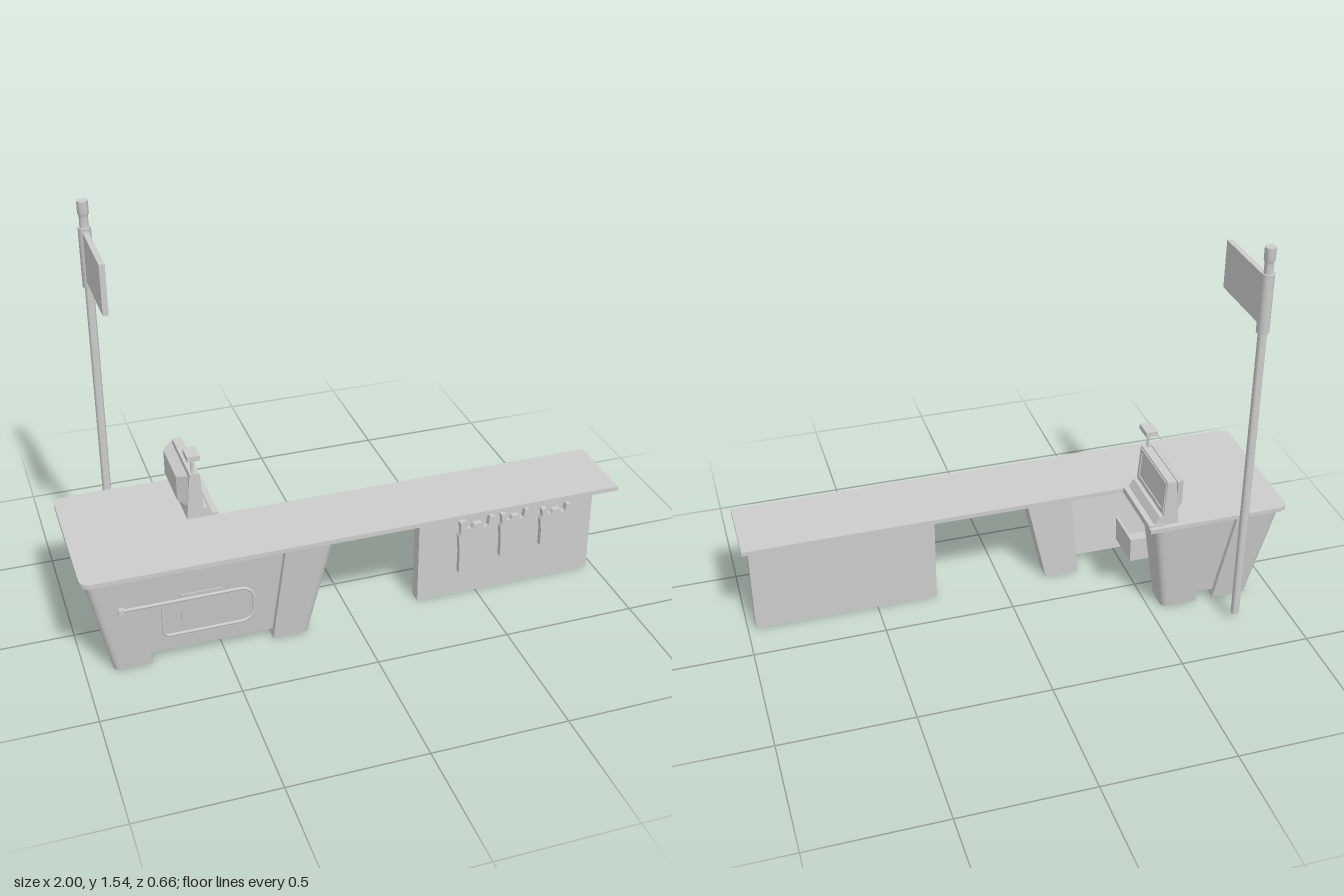
import * as THREE from 'three';
import { toCreasedNormals } from 'three/addons/utils/BufferGeometryUtils.js';

export function createModel() {
  const root = new THREE.Group();
  const grey = new THREE.MeshStandardMaterial({ color: 0xcccccc });

  const add = (name, geo, x = 0, y = 0, z = 0) => {
    const m = new THREE.Mesh(geo, grey);
    m.name = name;
    m.position.set(x, y, z);
    root.add(m);
    return m;
  };
  // box from its minimum and maximum corners
  const box = (name, x0, x1, y0, y1, z0, z1) =>
    add(name, new THREE.BoxGeometry(x1 - x0, y1 - y0, z1 - z0), (x0 + x1) / 2, (y0 + y1) / 2, (z0 + z1) / 2);

  // tapered column: rectangles are [xInner, xOuter, zInner, zOuter]; the outer corner is rounded by r
  const column = (name, b, t, y0, y1, r = 0) => {
    const [xi, xo, zi, zo] = b;
    const sx = Math.sign(xo - xi) * r, sz = Math.sign(zo - zi) * r;
    const s = new THREE.Shape();
    s.moveTo(xi, -zi);
    s.lineTo(xo, -zi);
    if (r) {
      s.lineTo(xo, -(zo - sz));
      s.quadraticCurveTo(xo, -zo, xo - sx, -zo);
    } else s.lineTo(xo, -zo);
    s.lineTo(xi, -zo);
    s.closePath();
    const g = new THREE.ExtrudeGeometry(s, { depth: y1 - y0, bevelEnabled: false, curveSegments: 5 });
    g.rotateX(-Math.PI / 2);
    const p = g.attributes.position;
    for (let i = 0; i < p.count; i++) {
      if (p.getY(i) < (y1 - y0) / 2) continue;
      p.setX(i, t[0] + (p.getX(i) - xi) / (xo - xi) * (t[1] - t[0]));
      p.setZ(i, t[2] + (p.getZ(i) - zi) / (zo - zi) * (t[3] - t[2]));
    }
    return add(name, toCreasedNormals(g, 0.6), 0, y0, 0);
  };

  // L-shaped counter top with rounded end corners
  const top = new THREE.Shape();
  const r = 0.04;
  top.moveTo(1, -0.33);
  top.lineTo(1, -0.04);
  top.lineTo(-0.45, -0.04);
  top.lineTo(-0.45, 0.25);
  top.lineTo(-1 + r, 0.25);
  top.quadraticCurveTo(-1, 0.25, -1, 0.25 - r);
  top.lineTo(-1, -0.33 + r);
  top.quadraticCurveTo(-1, -0.33, -1 + r, -0.33);
  top.closePath();
  const topGeo = new THREE.ExtrudeGeometry(top, { depth: 0.017, bevelEnabled: false, curveSegments: 6 });
  topGeo.rotateX(-Math.PI / 2);
  add('counterTop', topGeo, 0, 0.42, 0);

  // tapered corner legs
  column('frontRightLeg', [-0.76, -0.9, 0.15, 0.25], [-0.81, -0.985, 0.155, 0.3], 0, 0.42, 0.025);
  column('frontLeftLeg', [-0.315, -0.18, 0.15, 0.25], [-0.275, -0.09, 0.155, 0.3], 0, 0.42, 0.025);
  column('backRightLeg', [-0.76, -0.9, -0.07, -0.165], [-0.81, -0.985, -0.09, -0.225], 0, 0.42, 0.025);
  column('backMiddleLeg', [-0.69, -0.55, -0.07, -0.165], [-0.7, -0.48, -0.09, -0.225], 0, 0.42, 0.025);

  // recessed panels between the legs, open on the cashier's side
  column('frontPanel', [-0.78, -0.3, 0.215, 0.23], [-0.82, -0.27, 0.265, 0.28], 0.03, 0.42);
  column('backPanel', [-0.78, -0.68, -0.135, -0.15], [-0.82, -0.69, -0.195, -0.21], 0.03, 0.42);
  column('sidePanel', [-0.865, -0.88, -0.08, 0.16], [-0.945, -0.96, -0.1, 0.16], 0.03, 0.42);

  // front hatch and the bin behind it
  column('hatch', [-0.65, -0.5, 0.235, 0.248], [-0.65, -0.5, 0.255, 0.266], 0.14, 0.28);
  box('binFloor', -0.65, -0.5, 0.07, 0.08, 0.06, 0.23);
  box('binBack', -0.65, -0.5, 0.07, 0.17, 0.06, 0.07);
  for (const x of [-0.65, -0.51]) box('binSide', x, x + 0.01, 0.07, 0.17, 0.06, 0.23);

  // bent front rail
  const v = (x, y, z = 0.295) => new THREE.Vector3(x, y, z);
  const rail = new THREE.CurvePath();
  rail.add(new THREE.LineCurve3(v(-0.87, 0.282), v(-0.45, 0.282)));
  rail.add(new THREE.QuadraticBezierCurve3(v(-0.45, 0.282), v(-0.395, 0.282), v(-0.395, 0.225)));
  rail.add(new THREE.LineCurve3(v(-0.395, 0.225), v(-0.395, 0.195)));
  rail.add(new THREE.QuadraticBezierCurve3(v(-0.395, 0.195), v(-0.395, 0.142), v(-0.45, 0.142)));
  rail.add(new THREE.LineCurve3(v(-0.45, 0.142), v(-0.7, 0.142)));
  rail.add(new THREE.QuadraticBezierCurve3(v(-0.7, 0.142), v(-0.722, 0.142), v(-0.722, 0.165)));
  rail.add(new THREE.LineCurve3(v(-0.722, 0.165), v(-0.722, 0.265)));
  add('frontRail', new THREE.TubeGeometry(rail, 120, 0.006, 8));
  box('railBracket', -0.875, -0.855, 0.268, 0.288, 0.26, 0.3);

  // end board under the long counter
  box('endBoard', 0.265, 0.97, 0, 0.42, 0.15, 0.2);

  // carrier bags hanging on the board: outline in fractions of width and height
  const outline = [[0.04, 0], [0.96, 0.02], [0.94, 0.4], [1, 0.72], [0.95, 0.8], [0.97, 0.97], [0.82, 1],
    [0.78, 0.83], [0.66, 0.8], [0.62, 0.9], [0.4, 0.9], [0.34, 0.82], [0.22, 0.84], [0.18, 0.99],
    [0.03, 0.97], [0.06, 0.78], [0, 0.7], [0.04, 0.4]];
  for (const [x, y, w, h] of [[0.415, 0.105, 0.15, 0.23], [0.582, 0.145, 0.12, 0.19], [0.747, 0.16, 0.128, 0.165]]) {
    const s = new THREE.Shape(outline.map(([a, b]) => new THREE.Vector2(a * w, b * h)));
    add('carrierBag', new THREE.ExtrudeGeometry(s, { depth: 0.022, bevelEnabled: false }), x, y, 0.2);
  }

  // till: slanted screen body with a sloping foot, facing the cashier
  const body = new THREE.Shape([[-0.565, 0.435], [-0.465, 0.435], [-0.49, 0.475], [-0.505, 0.475],
    [-0.515, 0.62], [-0.548, 0.62]].map(([x, y]) => new THREE.Vector2(x, y)));
  add('tillBody', new THREE.ExtrudeGeometry(body, { depth: 0.27, bevelEnabled: false }), 0, 0, -0.23);
  box('tillTray', -0.5, -0.45, 0.437, 0.445, -0.235, 0.04);
  // rear housing, narrowing away from the screen
  const rear = new THREE.CylinderGeometry(Math.SQRT1_2, Math.SQRT1_2 * 1.35, 1, 4, 1).toNonIndexed();
  rear.rotateY(Math.PI / 4);
  rear.rotateZ(Math.PI / 2);
  rear.scale(0.036, 0.096, 0.2);
  rear.computeVertexNormals();
  add('tillRear', rear, -0.572, 0.55, -0.095);
  // thin frame around the screen
  const frame = new THREE.Shape();
  frame.moveTo(-0.13, -0.065).lineTo(0.13, -0.065).lineTo(0.13, 0.065).lineTo(-0.13, 0.065).closePath();
  const hole = new THREE.Path();
  hole.moveTo(-0.115, -0.05).lineTo(-0.115, 0.05).lineTo(0.115, 0.05).lineTo(0.115, -0.05).closePath();
  frame.holes.push(hole);
  const frameGeo = new THREE.ExtrudeGeometry(frame, { depth: 0.006, bevelEnabled: false });
  frameGeo.rotateY(Math.PI / 2);
  frameGeo.rotateZ(0.069);
  add('screenFrame', frameGeo, -0.512, 0.548, -0.095);

  // customer display on a short stalk
  add('displayStalk', new THREE.CylinderGeometry(0.006, 0.006, 0.08, 8), -0.535, 0.65, 0.025);
  box('customerDisplay', -0.558, -0.512, 0.682, 0.702, -0.01, 0.06);

  // lane pole with sleeve and cap
  const profile = [[0, 0.03], [0.016, 0.03], [0.016, 1.23], [0.023, 1.23], [0.023, 1.45], [0.016, 1.45],
    [0.016, 1.49], [0.02, 1.5], [0.02, 1.545], [0, 1.545]].map(([a, b]) => new THREE.Vector2(a, b));
  add('lanePole', toCreasedNormals(new THREE.LatheGeometry(profile, 10), 0.7), -0.79, 0, -0.308);
  box('laneSign', -0.8, -0.78, 1.255, 1.437, -0.295, 0.003);

  return root;
}
